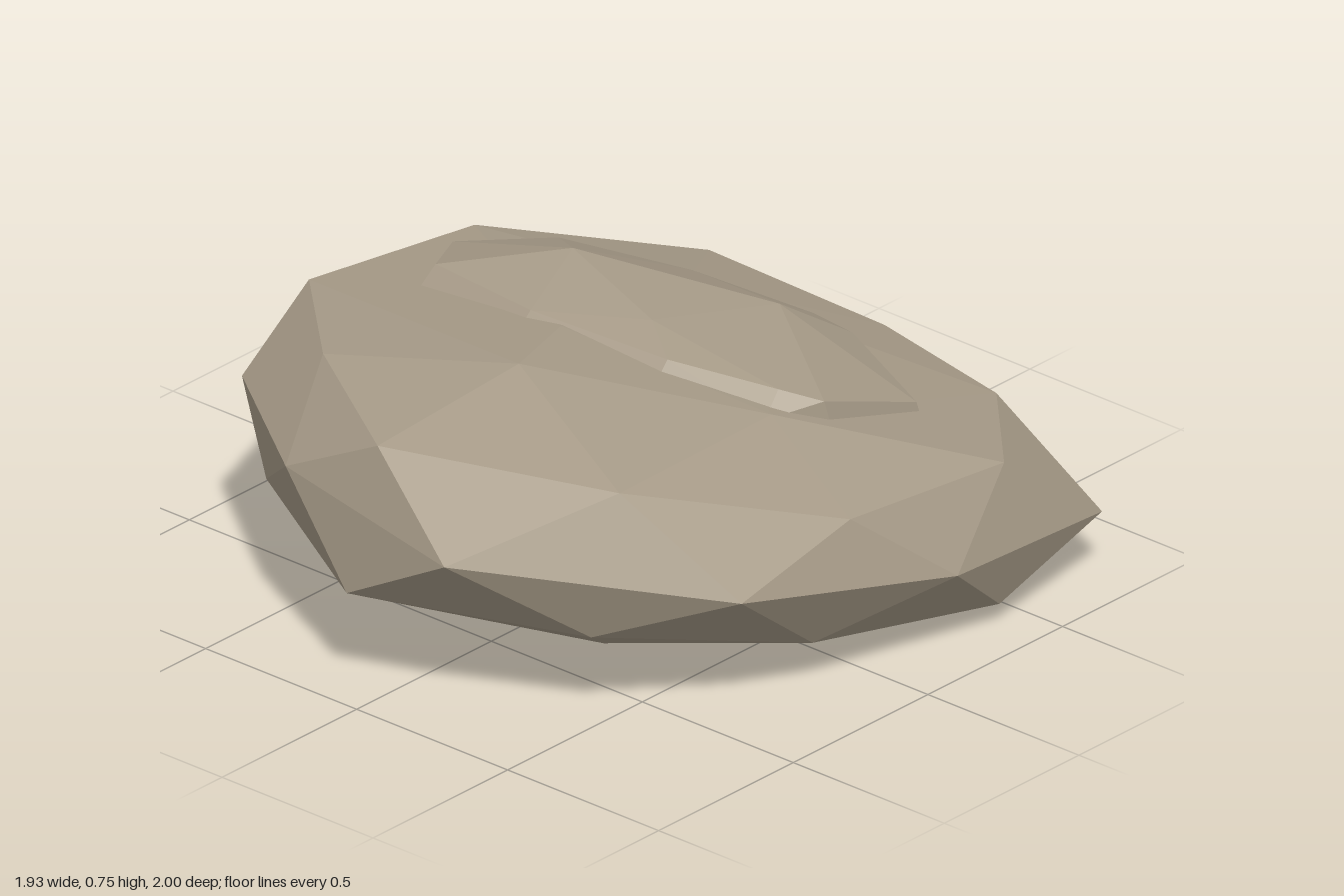
import * as THREE from 'three';
import { ConvexGeometry } from 'three/addons/geometries/ConvexGeometry.js';

const vec = ([x, y, z]) => new THREE.Vector3(x, y, z);

// Underside, from the lowest flats out to the chamfer
const underside = [
  [0.05, 0, -0.24], [0.46, 0.01, -0.48], [-0.45, 0.07, 0], [0.3, 0.065, 0.42],
  [-0.31, 0.14, 0.6], [0.77, 0.13, 0.17], [0.88, 0.06, -0.4], [0.07, 0.065, -0.88],
  [-0.38, 0.1, -0.59], [-0.79, 0.22, -0.19], [-0.83, 0.28, 0.37],
];

// Widest rim, running around the stone
const rim = [
  [0.29, 0.49, 1], [-0.06, 0.29, 0.97], [-0.32, 0.53, 0.905], [-0.54, 0.355, 0.73],
  [-0.75, 0.515, 0.585], [-0.97, 0.45, 0.05], [-0.71, 0.34, -0.58], [-0.42, 0.46, -0.78],
  [-0.18, 0.23, -0.92], [0.38, 0.18, -1], [0.89, 0.18, -0.77], [0.965, 0.26, -0.15],
  [0.82, 0.375, 0.49], [0.5, 0.25, 0.69],
];

// Sloping upper face
const crown = [
  [-0.02, 0.685, 0.9], [0.54, 0.64, 0.63], [0.02, 0.745, 0.42], [-0.45, 0.69, 0.62],
  [-0.8, 0.65, 0.28], [-0.76, 0.6, -0.29], [-0.2, 0.575, -0.45], [-0.1, 0.7, 0.13],
  [0.1, 0.4, -0.85], [0.54, 0.39, -0.77], [0.86, 0.43, -0.44], [0.85, 0.48, 0.12],
  [0.5, 0.615, 0.02],
];

// Raised shelf: an edge loop and three peaks
const shelfEdge = [
  [-0.68, 0.645, -0.12], [-0.5, 0.645, -0.31], [-0.2, 0.595, -0.47], [0.12, 0.55, -0.56],
  [0.25, 0.54, -0.56], [0.57, 0.5, -0.44], [0.55, 0.615, -0.12], [0.46, 0.645, -0.05],
  [0.2, 0.685, 0.07], [-0.2, 0.71, 0.13], [-0.55, 0.705, 0.09],
];
const shelfPeaks = [[-0.31, 0.74, -0.15], [0.17, 0.66, -0.38], [0.06, 0.71, -0.03]];

export function createModel() {
  const group = new THREE.Group();
  group.name = 'rock';
  const stone = new THREE.MeshStandardMaterial({ color: 0xa89c89, flatShading: true });
  stone.name = 'warm grey stone';

  const addHull = (name, points) => {
    const mesh = new THREE.Mesh(new ConvexGeometry(points.map(vec)), stone);
    mesh.name = name;
    group.add(mesh);
  };

  addHull('boulder', [...underside, ...rim, ...crown]);

  // The shelf's edge drops into the boulder, flaring out more along the front
  const shelfFoot = shelfEdge.map(([x, y, z]) => [x * 1.02, y - 0.06, z + (z > -0.1 ? 0.06 : -0.01)]);
  addHull('topShelf', [...shelfEdge, ...shelfPeaks, ...shelfFoot]);

  return group;
}
